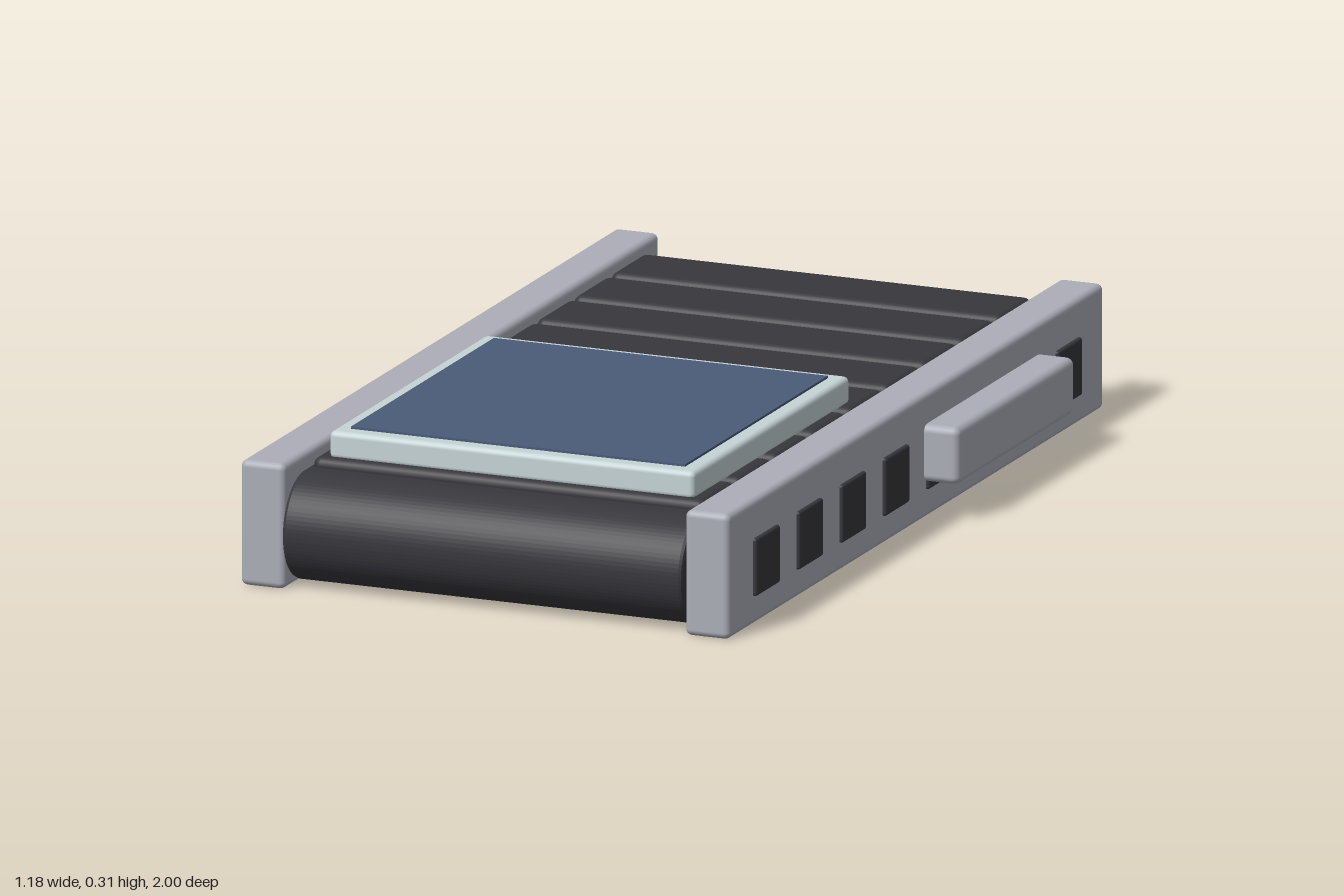
import * as THREE from 'three';
import { RoundedBoxGeometry } from 'three/addons/geometries/RoundedBoxGeometry.js';

const material = (name, color) => {
  const m = new THREE.MeshStandardMaterial({ color });
  m.name = name;
  return m;
};

export function createModel() {
  const group = new THREE.Group();
  group.name = 'conveyor';
  const metal = material('grey metal', 0xacaeb8);
  const rubber = material('dark rubber', 0x37373c);
  const pale = material('pale frame', 0xc6d4d6);
  const blue = material('blue panel', 0x4a5a78);

  const add = (name, geometry, mat, x, y, z) => {
    const mesh = new THREE.Mesh(geometry, mat);
    mesh.name = name;
    mesh.position.set(x, y, z);
    group.add(mesh);
    return mesh;
  };
  const rounded = (w, h, d, r) => new RoundedBoxGeometry(w, h, d, 3, r);
  const mid = -0.036; // centre line of the belt

  // Belt: a long loop with round ends, extruded across the width
  const bevel = 0.008, r = 0.115 - bevel, half = 0.885;
  const loop = new THREE.Shape();
  loop.absarc(half, 0, r, -Math.PI / 2, Math.PI / 2, false);
  loop.absarc(-half, 0, r, Math.PI / 2, Math.PI * 1.5, false);
  loop.closePath();
  const width = 0.898 - 2 * bevel;
  const beltGeometry = new THREE.ExtrudeGeometry(loop, {
    depth: width, curveSegments: 20, bevelEnabled: true,
    bevelThickness: bevel, bevelSize: bevel, bevelSegments: 2,
  });
  beltGeometry.translate(0, 0, -width / 2);
  beltGeometry.rotateY(Math.PI / 2);
  add('belt', beltGeometry, rubber, mid, 0.125, 0);

  // Raised slats along the top
  const slatGeometry = rounded(0.88, 0.06, 0.176, 0.018);
  for (let i = 0; i < 9; i++) {
    add('slat', slatGeometry, rubber, mid, 0.231, -0.785 + i * 0.195);
  }

  // Side rails with rows of dark square ports
  const railGeometry = rounded(0.1, 0.268, 1.97, 0.014);
  const portGeometry = rounded(0.03, 0.124, 0.126, 0.006);
  for (const side of [-1, 1]) {
    add(side > 0 ? 'leftRail' : 'rightRail', railGeometry, metal, mid + side * 0.499, 0.14, 0);
    for (let i = 0; i < 8; i++) {
      add('port', portGeometry, rubber, mid + side * 0.542, 0.13, 0.794 - i * 0.2265);
    }
  }

  // Control box on one rail
  add('controlBox', rounded(0.1, 0.122, 0.615, 0.016), metal, 0.54, 0.147, -0.347);

  // Tray with a thin blue panel on top
  const trayZ = 0.433;
  add('tray', rounded(0.82, 0.06, 0.82, 0.012), pale, mid, 0.285, trayZ);
  add('trayPanel', new THREE.BoxGeometry(0.75, 0.008, 0.75), blue, mid, 0.316, trayZ);

  return group;
}
